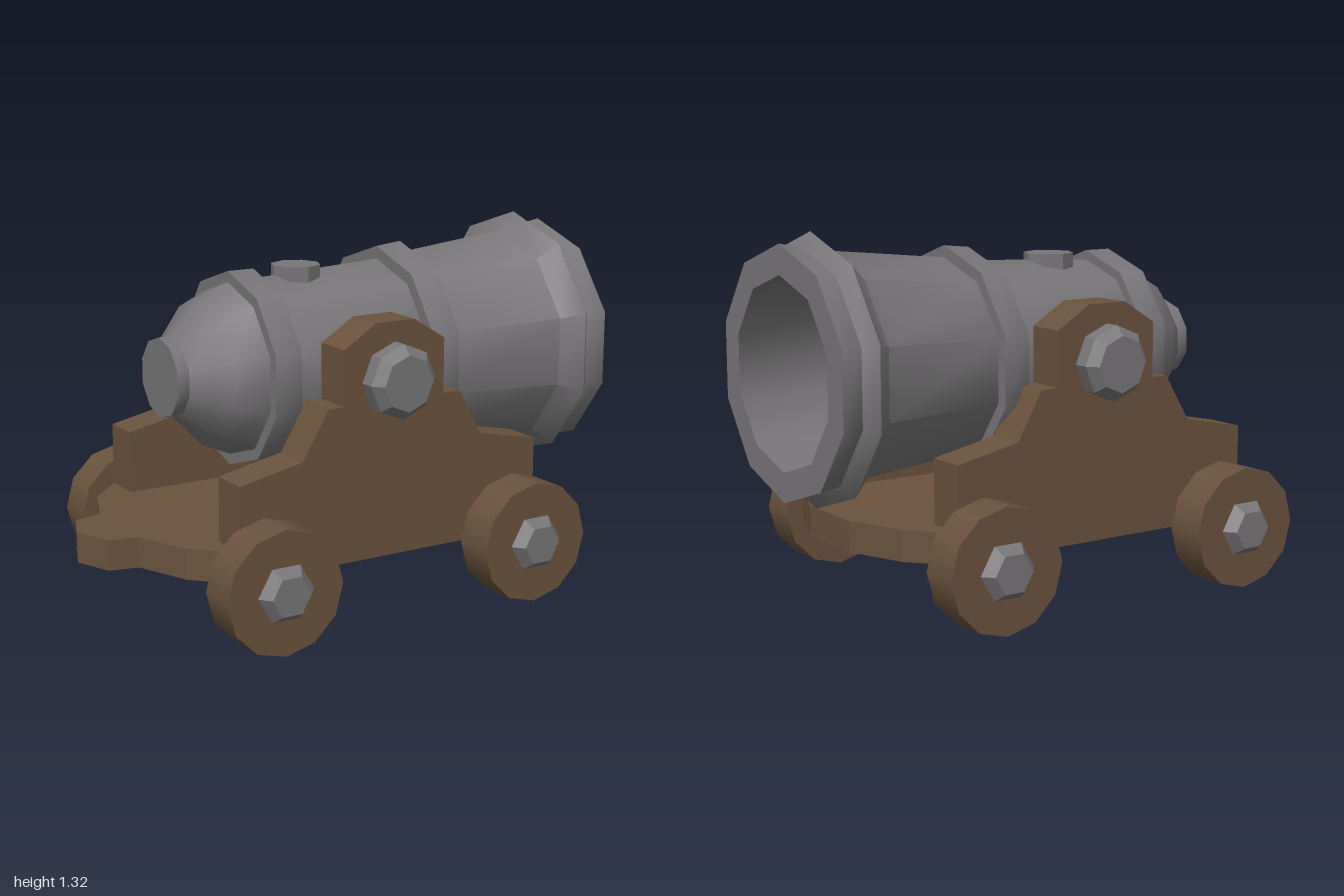
import * as THREE from 'three';
import { toCreasedNormals } from 'three/addons/utils/BufferGeometryUtils.js';

const wood = new THREE.MeshStandardMaterial({ color: 0x6a523c });
wood.name = 'wood';
const metal = new THREE.MeshStandardMaterial({ color: 0x777577 });
metal.name = 'metal';

function add(parent, name, geometry, material) {
  const mesh = new THREE.Mesh(geometry, material);
  mesh.name = name;
  parent.add(mesh);
  return mesh;
}

function shapeOf(points) {
  return new THREE.Shape(points.map(([x, y]) => new THREE.Vector2(x, y)));
}

// Prism along z, from z = 0 outward on the given side (+1 or -1)
function sidePrism(rInner, rOuter, length, sides, side, turn = 0) {
  return new THREE.CylinderGeometry(rOuter, rInner, length, sides, 1, false, turn)
    .translate(0, length / 2, 0)
    .rotateX(side * Math.PI / 2);
}

const faceted = (geometry) => toCreasedNormals(geometry, 0.1);

export function createModel() {
  const model = new THREE.Group();
  model.name = 'cannon';

  // Barrel: one ten-sided turned profile [x, radius], outside then back down the bore
  const profile = [
    [-0.66, 0], [-0.66, 0.145], [-0.615, 0.145], [-0.5, 0.265], [-0.385, 0.315],
    [-0.385, 0.355], [-0.28, 0.355], [-0.28, 0.32],
    [0.245, 0.347], [0.245, 0.394], [0.35, 0.405], [0.35, 0.362],
    [0.81, 0.41], [0.88, 0.479], [0.922, 0.43], [1, 0.443],
    [1, 0.338], [0.13, 0.332], [0.13, 0],
  ].map(([x, r]) => new THREE.Vector2(r, x));
  const barrelGeometry = new THREE.LatheGeometry(profile, 10, Math.PI / 2).rotateZ(-Math.PI / 2);
  const barrel = add(model, 'barrel', toCreasedNormals(barrelGeometry, 0.7), metal);
  barrel.position.set(0, 0.843, -0.016);

  // Vent cap on top of the breech
  const vent = add(model, 'ventCap',
    faceted(new THREE.CylinderGeometry(0.092, 0.092, 0.12, 8)), metal);
  vent.position.set(-0.104, 1.14, -0.018);

  // Bed plate, outlined from above and mirrored across z
  const half = [[-0.945, 0.135], [-0.84, 0.16], [-0.76, 0.358], [-0.625, 0.495],
    [0.605, 0.495], [0.735, 0.355], [0.82, 0.14]];
  const mirrored = half.map(([x, z]) => [x, -z]).reverse();
  const bedGeometry = new THREE.ExtrudeGeometry(shapeOf([[-1, 0], ...half, ...mirrored]),
    { depth: 0.11, bevelEnabled: false }).rotateX(-Math.PI / 2);
  add(model, 'bed', bedGeometry, wood).position.y = 0.227;

  // Stepped side frame
  const frameGeometry = new THREE.ExtrudeGeometry(shapeOf([
    [-0.627, 0.33], [0.605, 0.33], [0.605, 0.567], [0.36, 0.617], [0.265, 0.787],
    [0.195, 0.787], [0.195, 0.985], [0.067, 1.065], [-0.09, 1.065], [-0.217, 0.985],
    [-0.217, 0.787], [-0.28, 0.787], [-0.383, 0.617], [-0.627, 0.567],
  ]), { depth: 0.148, bevelEnabled: false });

  for (const side of [1, -1]) {
    const label = side > 0 ? 'Front' : 'Back';

    const frame = add(model, `sideFrame${label}`, frameGeometry, wood);
    frame.position.z = side > 0 ? 0.347 : -0.495;

    // Trunnion with a chamfered end
    const trunnion = new THREE.Group();
    trunnion.name = `trunnion${label}`;
    trunnion.position.set(-0.012, 0.861, side * 0.3);
    add(trunnion, 'trunnionShaft', faceted(sidePrism(0.133, 0.133, 0.25, 8, side)), metal);
    add(trunnion, 'trunnionEnd', faceted(sidePrism(0.133, 0.1, 0.037, 8, side)), metal)
      .position.z = side * 0.25;
    model.add(trunnion);

    // Wheels with hexagonal hub caps
    for (const x of [-0.537, 0.507]) {
      const wheel = new THREE.Group();
      wheel.name = `wheel${label}${x > 0 ? 'Muzzle' : 'Breech'}`;
      wheel.position.set(x, 0.2225, side * 0.495);
      add(wheel, 'wheelDisc', sidePrism(0.2225, 0.2225, 0.15, 12, side), wood);
      add(wheel, 'hubCap', faceted(sidePrism(0.108, 0.075, 0.04, 6, side, Math.PI / 6)), metal)
        .position.z = side * 0.15;
      model.add(wheel);
    }
  }
  return model;
}
